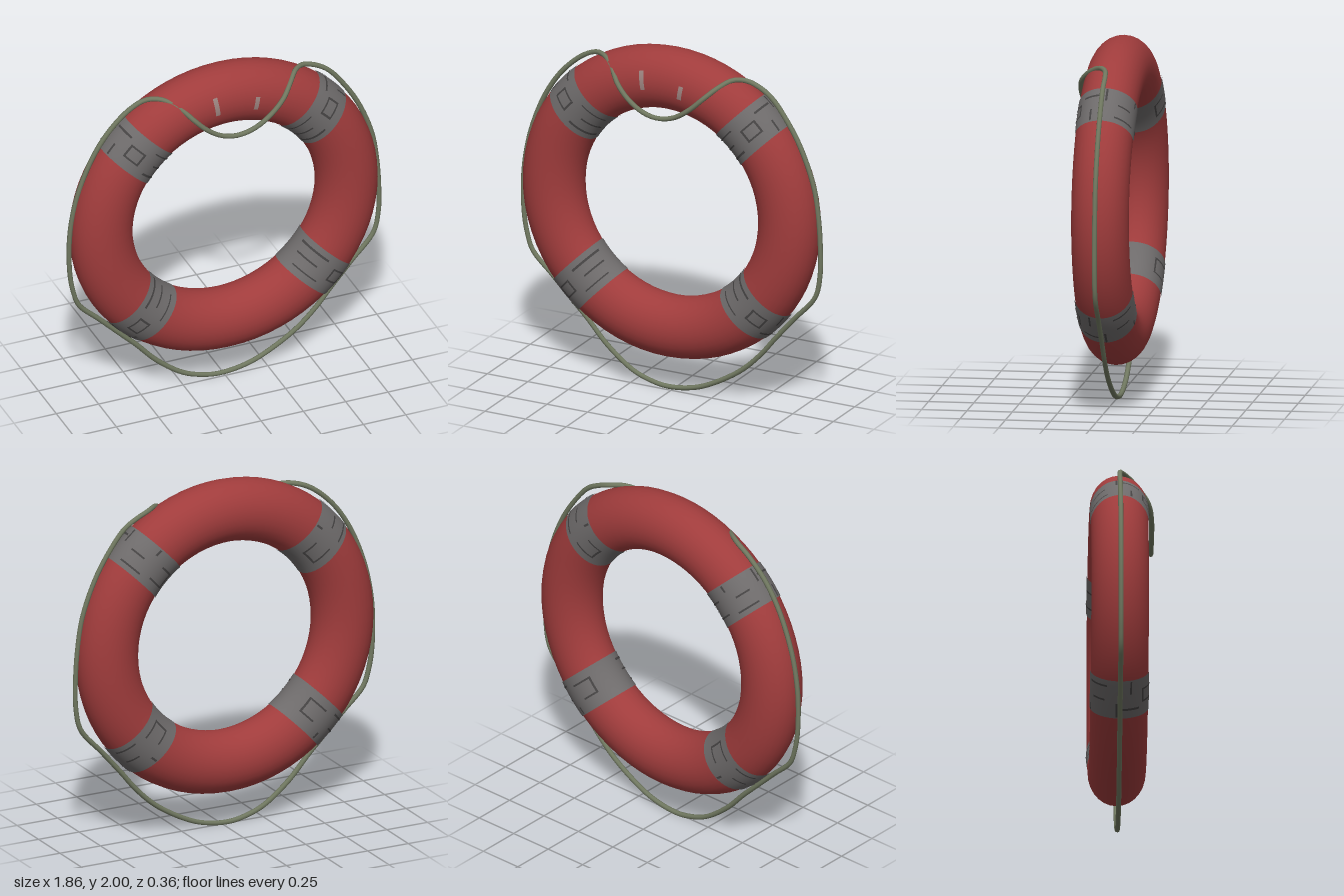
import * as THREE from 'three';

const R = 0.725, A = 0.175, B = 0.157;   // ring radius, tube radius, tube half depth
const CX = -0.004, CY = 1.1, CZ = -0.017; // ring centre
const rad = THREE.MathUtils.degToRad;

// Curved plate hugging the ring: s runs along the ring, t around the tube
// (t = 0 outer rim, 90 front, 180 inner rim, 270 back)
function plate(centre, s0, s1, t0, t1, lift, nx, ny) {
  const g = new THREE.PlaneGeometry(1, 1, nx, ny);
  const p = g.attributes.position, n = g.attributes.normal, v = new THREE.Vector3();
  for (let i = 0; i < p.count; i++) {
    const s = THREE.MathUtils.lerp(s0, s1, p.getX(i) + 0.5);
    const t = rad(THREE.MathUtils.lerp(t0, t1, p.getY(i) + 0.5));
    const r = R + A * Math.cos(t);
    const phi = rad(centre) + Math.asin(s / r);
    v.set(Math.cos(t) * Math.cos(phi), Math.cos(t) * Math.sin(phi), Math.sin(t) * A / B).normalize();
    n.setXYZ(i, v.x, v.y, v.z);
    p.setXYZ(i, r * Math.cos(phi) + v.x * lift, r * Math.sin(phi) + v.y * lift, B * Math.sin(t) + v.z * lift);
  }
  return g;
}

export function createModel() {
  const model = new THREE.Group();
  model.name = 'lifebuoy';
  const mat = (name, color) => {
    const m = new THREE.MeshStandardMaterial({ color });
    m.name = name;
    return m;
  };
  const red = mat('faded red', 0xa03c3c);
  const grey = mat('band grey', 0x6e6b6b);
  const dark = mat('seam dark grey', 0x454343);
  const worn = mat('worn paint', 0x9c8480);
  const ropeGreen = mat('rope green', 0x707860);

  const add = (parent, name, geometry, material) => {
    const m = new THREE.Mesh(geometry, material);
    m.name = name;
    parent.add(m);
    return m;
  };

  const float = new THREE.Group();
  float.name = 'float';
  float.position.set(CX, CY, CZ);
  model.add(float);

  // Main ring
  const torus = new THREE.TorusGeometry(R, A, 28, 72);
  torus.scale(1, 1, B / A);
  add(float, 'ring', torus, red);

  // Dark folds on each band: s0, s1, t0, t1
  const folds = [
    [-0.05, 0.03, 48, 52], [-0.05, 0.03, 78, 82], [-0.05, -0.04, 52, 78], [0.02, 0.03, 52, 78],
    [0.06, 0.068, 95, 150], [-0.075, -0.062, 100, 165], [-0.01, 0.0, 112, 160],
    [-0.1, -0.03, 20, 24], [0.02, 0.1, -8, -4], [0.05, 0.062, 0, 40],
    [-0.06, 0.04, 230, 234], [-0.06, -0.05, 234, 270], [0.03, 0.04, 234, 262],
    [0.06, 0.1, 285, 289], [-0.08, -0.07, 290, 335], [0.0, 0.01, 300, 330],
  ];

  // Four wrapped bands, fold pattern flipped on alternate ones
  [[45.5, 1], [136.5, -1], [226, 1], [317.5, -1]].forEach(([angle, flip]) => {
    const band = new THREE.Group();
    band.name = 'band';
    float.add(band);
    add(band, 'bandWrap', plate(angle, -0.108, 0.108, 0, 360, 0.004, 8, 48), grey);
    folds.forEach(([s0, s1, t0, t1]) => {
      const [a, b] = flip > 0 ? [s0, s1] : [-s1, -s0];
      add(band, 'bandFold', plate(angle, a, b, t0, t1, 0.0065, 3, 10), dark);
    });
  });

  // Two worn marks on the front of the ring
  add(float, 'wornMark', plate(98, -0.013, 0.013, 64, 100, 0.003, 2, 8), worn);
  add(float, 'wornMark', plate(79.5, -0.013, 0.013, 78, 104, 0.003, 2, 8), worn);

  // Grab rope: draped over the front at the top, hanging loose below
  const Z = -0.015;
  const path = [
    [0, 1.65, 0.165], [0.1, 1.67, 0.165], [0.2, 1.735, 0.165], [0.28, 1.81, 0.15], [0.34, 1.865, 0.1],
    [0.4, 1.9, 0.035], [0.46, 1.895, -0.005], [0.53, 1.87, Z], [0.61, 1.82, Z], [0.7, 1.71, Z],
    [0.79, 1.56, Z], [0.87, 1.35, Z], [0.9, 1.17, Z], [0.912, 1.0, Z], [0.91, 0.83, Z],
    [0.88, 0.7, Z], [0.75, 0.55, Z], [0.63, 0.41, Z], [0.54, 0.3, Z], [0.41, 0.18, Z],
    [0.2, 0.06, Z], [0.08, 0.025, Z], [-0.03, 0.015, Z], [-0.11, 0.025, Z], [-0.24, 0.07, Z],
    [-0.4, 0.19, Z], [-0.52, 0.32, Z], [-0.6, 0.4, Z], [-0.74, 0.54, Z], [-0.86, 0.66, Z],
    [-0.895, 0.76, Z], [-0.913, 0.87, Z], [-0.918, 1.05, Z], [-0.905, 1.2, Z], [-0.865, 1.38, Z],
    [-0.78, 1.59, Z], [-0.68, 1.74, Z], [-0.56, 1.85, Z], [-0.47, 1.895, -0.005], [-0.39, 1.9, 0.035],
    [-0.31, 1.86, 0.1], [-0.25, 1.8, 0.15], [-0.18, 1.73, 0.165], [-0.09, 1.67, 0.165],
  ].map((p) => new THREE.Vector3(...p));
  const curve = new THREE.CatmullRomCurve3(path, true, 'centripetal');
  add(model, 'grabRope', new THREE.TubeGeometry(curve, 220, 0.014, 8, true), ropeGreen);

  return model;
}
